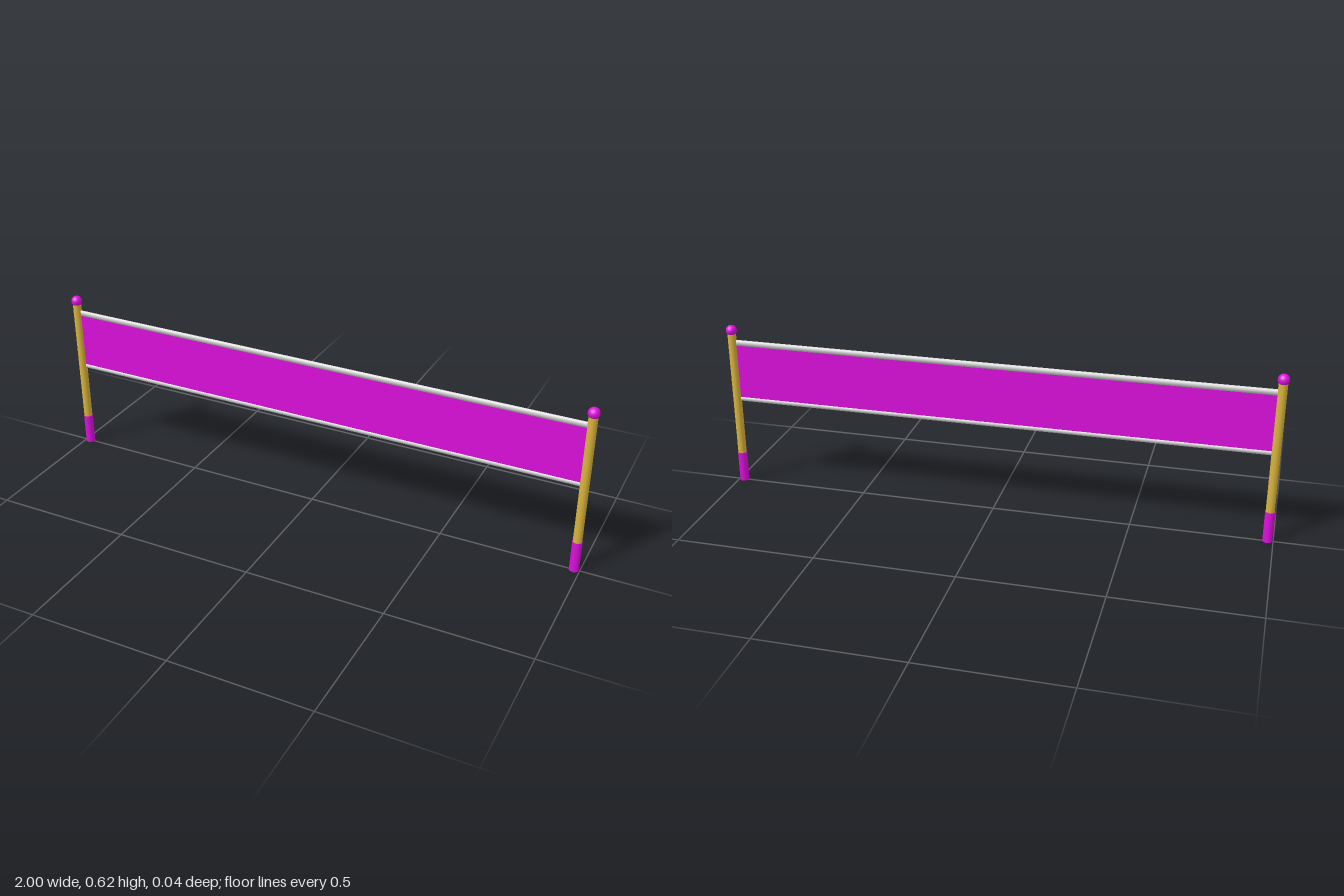
import * as THREE from 'three';

const material = (name, color, side = THREE.FrontSide) => {
  const m = new THREE.MeshStandardMaterial({ color, side });
  m.name = name;
  return m;
};

export function createModel() {
  const model = new THREE.Group();
  model.name = 'netBarrier';
  const magenta = material('magenta', 0xdd0fdd);
  const gold = material('gold', 0xd9b33c);
  const silver = material('silver', 0xd4d4d4);

  const add = (parent, name, geometry, mat, x, y) => {
    const mesh = new THREE.Mesh(geometry, mat);
    mesh.name = name;
    mesh.position.set(x, y, 0);
    parent.add(mesh);
    return mesh;
  };

  // Posts with sleeve feet and ball finials, mirrored
  const poleGeo = new THREE.CylinderGeometry(0.0155, 0.0155, 0.48, 32);
  const footGeo = new THREE.CylinderGeometry(0.017, 0.017, 0.115, 32);
  const ballGeo = new THREE.SphereGeometry(0.02, 32, 20);
  for (const side of [-1, 1]) {
    const post = new THREE.Group();
    post.name = side > 0 ? 'leftPost' : 'rightPost';
    post.position.x = side * 0.98;
    add(post, 'pole', poleGeo, gold, 0, 0.355);
    add(post, 'foot', footGeo, magenta, 0, 0.0575);
    add(post, 'finial', ballGeo, magenta, 0, 0.6);
    model.add(post);
  }

  // Thin panel stretched between the posts
  add(model, 'panel', new THREE.BoxGeometry(1.94, 0.21, 0.003), magenta, 0, 0.443);

  // Hem bands: rods pressed flat, keeping their rounded normals
  const hem = (name, y, height) => {
    const geo = new THREE.CylinderGeometry(height / 2, height / 2, 1.94, 16);
    geo.rotateZ(Math.PI / 2);
    const p = geo.attributes.position;
    for (let i = 0; i < p.count; i++) p.setZ(i, p.getZ(i) * 0.006 / height);
    add(model, name, geo, silver, 0, y);
  };
  hem('topHem', 0.553, 0.024);
  hem('bottomHem', 0.334, 0.017);

  return model;
}
